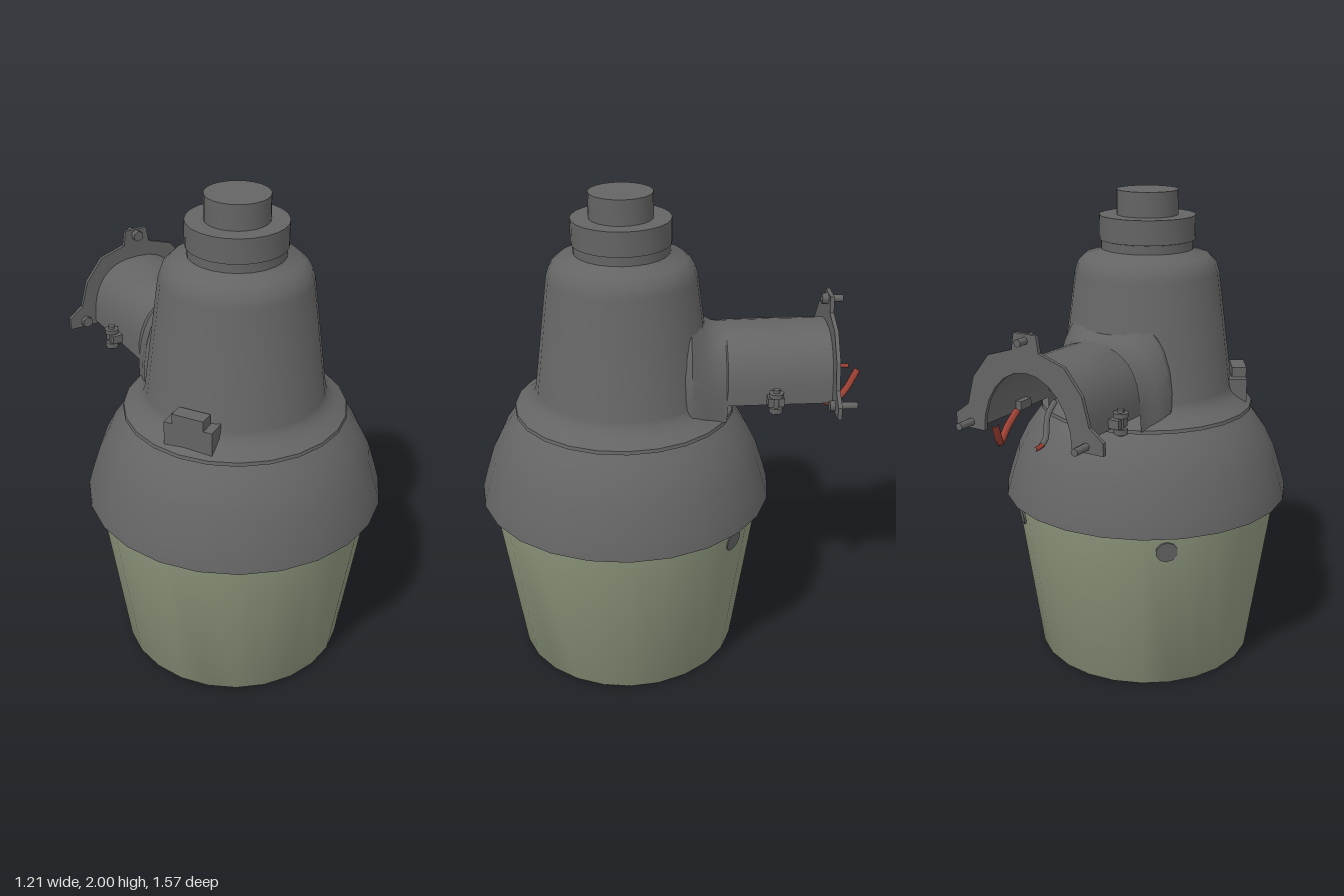
import * as THREE from 'three';
import { toCreasedNormals } from 'three/addons/utils/BufferGeometryUtils.js';

const AXIS_Z = 0.17; // the lamp axis sits ahead of the mounting arm

export function createModel() {
  const model = new THREE.Group();
  model.name = 'yardLamp';

  const mat = (name, color) => {
    const m = new THREE.MeshStandardMaterial({ color });
    m.name = name;
    return m;
  };
  const metal = mat('darkGreyMetal', 0x646464);
  const glass = mat('paleGreenGlass', 0x8f997f);
  const red = mat('redWire', 0x9c4034);
  metal.side = glass.side = THREE.DoubleSide;

  const add = (name, geometry, material, x = 0, y = 0, z = 0, parent = model) => {
    const mesh = new THREE.Mesh(geometry, material);
    mesh.name = name;
    mesh.position.set(x, y, z);
    parent.add(mesh);
    return mesh;
  };
  const turned = (name, profile, material) => {
    const points = profile.map(([r, y]) => new THREE.Vector2(r, y));
    add(name, toCreasedNormals(new THREE.LatheGeometry(points, 24), 0.6), material, 0, 0, AXIS_Z);
  };

  // Turned parts, bottom to top
  turned('refractor', [[0.45, 0.012], [0.455, 0], [0.463, 0.01], [0.567, 0.735]], glass);
  turned('shade', [[0, 0.78], [0.5, 0.76], [0.56, 0.735], [0.606, 0.727], [0.604, 0.742],
    [0.585, 0.81], [0.55, 0.92], [0.51, 1.0], [0.46, 1.07], [0.42, 1.112]], metal);
  turned('housing', [[0.4, 1.105], [0.45, 1.108], [0.447, 1.122], [0.4, 1.15], [0.37, 1.175],
    [0.36, 1.2], [0.298, 1.67], [0.285, 1.71], [0.255, 1.74], [0.2, 1.756], [0.19, 1.765],
    [0.19, 1.8], [0, 1.8]], metal);
  turned('photocellBase', [[0.185, 1.8], [0.197, 1.802], [0.197, 1.9], [0, 1.9]], metal);
  turned('photocellCap', [[0.126, 1.9], [0.126, 2.0], [0, 2.0]], metal);

  // Hollow arched arm, lofted along z and flared into the housing
  const sections = [ // z, half width, top, bottom
    [-0.66, 0.215, 1.45, 1.19], [-0.44, 0.217, 1.45, 1.19], [-0.235, 0.22, 1.447, 1.19],
    [-0.23, 0.222, 1.447, 1.12], [-0.19, 0.232, 1.45, 1.12], [-0.15, 0.25, 1.47, 1.12],
    [-0.09, 0.275, 1.56, 1.12], [0.0, 0.25, 1.58, 1.12],
  ];
  const steps = 16, verts = [], index = [];
  sections.forEach(([z, w, top, bottom], j) => {
    for (let i = 0; i <= steps; i++) {
      const a = (i / steps) * Math.PI, c = Math.cos(a);
      verts.push(Math.sign(c) * w * Math.abs(c) ** 0.8, bottom + (top - bottom) * Math.sin(a) ** 0.8, z);
      if (i < steps && j < sections.length - 1) {
        const p = j * (steps + 1) + i, q = p + steps + 1;
        index.push(p, q, p + 1, q, q + 1, p + 1);
      }
    }
  });
  // make the winding face outward
  for (let i = 0; i < index.length; i += 3) [index[i + 1], index[i + 2]] = [index[i + 2], index[i + 1]];
  const armGeometry = new THREE.BufferGeometry();
  armGeometry.setAttribute('position', new THREE.Float32BufferAttribute(verts, 3));
  armGeometry.setIndex(index);
  add('arm', toCreasedNormals(armGeometry, 0.7), metal);

  // Arched mounting plate with a lug at the top and at each foot
  const half = [[0.335, 1.175], [0.335, 1.225], [0.275, 1.27], [0.245, 1.38], [0.17, 1.475], [0.06, 1.51], [0.05, 1.575]];
  const inner = [];
  for (let i = 0; i <= 12; i++) {
    const a = Math.PI * (1 - i / 12);
    inner.push([0.2 * Math.cos(a), 1.175 + 0.255 * Math.sin(a)]);
  }
  const outline = [...half, ...half.map(([x, y]) => [-x, y]).reverse(), ...inner];
  const plate = new THREE.Shape(outline.map(([x, y]) => new THREE.Vector2(x, y)));
  add('mountingPlate', new THREE.ExtrudeGeometry(plate, { depth: 0.016, bevelEnabled: false }), metal, 0, 0, -0.666);

  // Bolts through the plate
  const plateBolt = (x, y, back, front) => {
    const bolt = new THREE.Group();
    bolt.name = 'plateBolt';
    model.add(bolt);
    add('shank', new THREE.CylinderGeometry(0.015, 0.015, front - back, 8), metal, x, y, (front + back) / 2, bolt).rotation.x = Math.PI / 2;
    add('head', new THREE.CylinderGeometry(0.024, 0.024, 0.03, 6), metal, x, y, front - 0.015, bolt).rotation.x = Math.PI / 2;
  };
  plateBolt(0, 1.55, -0.71, -0.625);
  for (const s of [-1, 1]) plateBolt(s * 0.262, 1.2, -0.74, -0.63);

  // Clamp ears with upright screws on both sides of the arm
  for (const s of [-1, 1]) {
    const clamp = new THREE.Group();
    clamp.name = s > 0 ? 'leftClamp' : 'rightClamp';
    model.add(clamp);
    add('ear', new THREE.BoxGeometry(0.07, 0.035, 0.065), metal, s * 0.225, 1.217, -0.42, clamp);
    add('screw', new THREE.CylinderGeometry(0.014, 0.014, 0.105, 8), metal, s * 0.25, 1.22, -0.42, clamp);
    add('nut', new THREE.CylinderGeometry(0.027, 0.027, 0.022, 6), metal, s * 0.25, 1.185, -0.42, clamp);
    add('washer', new THREE.CylinderGeometry(0.03, 0.03, 0.018, 8), metal, s * 0.25, 1.25, -0.42, clamp);
  }

  // Latch on the front right of the housing flange
  const latch = new THREE.Group();
  latch.name = 'latch';
  latch.position.set(-0.325, 0, 0.38);
  latch.rotation.y = Math.atan2(-0.325, 0.38 - AXIS_Z);
  model.add(latch);
  add('latchBase', new THREE.BoxGeometry(0.2, 0.12, 0.1), metal, 0, 1.17, -0.02, latch);
  add('latchCatch', new THREE.BoxGeometry(0.13, 0.05, 0.06), metal, 0, 1.247, 0, latch);

  // Supply wires leaving the open arm
  const wire = (name, points, radius, material) => {
    const curve = new THREE.CatmullRomCurve3(points.map((p) => new THREE.Vector3(...p)));
    add(name, new THREE.TubeGeometry(curve, 16, radius, 7), material);
  };
  wire('redWire', [[0.16, 1.22, -0.52], [0.145, 1.18, -0.6], [0.12, 1.148, -0.67], [0.08, 1.18, -0.73], [0.055, 1.26, -0.78]], 0.014, red);
  wire('greyWire', [[-0.08, 1.32, -0.6], [-0.09, 1.28, -0.66], [-0.11, 1.215, -0.7], [-0.122, 1.2, -0.74]], 0.011, metal);
  wire('greyWireTip', [[-0.122, 1.2, -0.738], [-0.124, 1.198, -0.76], [-0.122, 1.198, -0.783]], 0.009, red);

  // Thin lugs showing through the rear of the refractor
  for (const s of [-1, 1]) {
    const lug = new THREE.Group();
    lug.name = 'refractorLug';
    lug.position.set(s * 0.36, 0.65, AXIS_Z - 0.425);
    lug.rotation.set(0.143, Math.atan2(s * 0.36, -0.425), 0, 'YXZ');
    model.add(lug);
    add('lugFace', new THREE.CylinderGeometry(0.045, 0.045, 0.008, 10), metal, 0, 0, -0.004, lug).rotation.x = Math.PI / 2;
  }
  return model;
}
